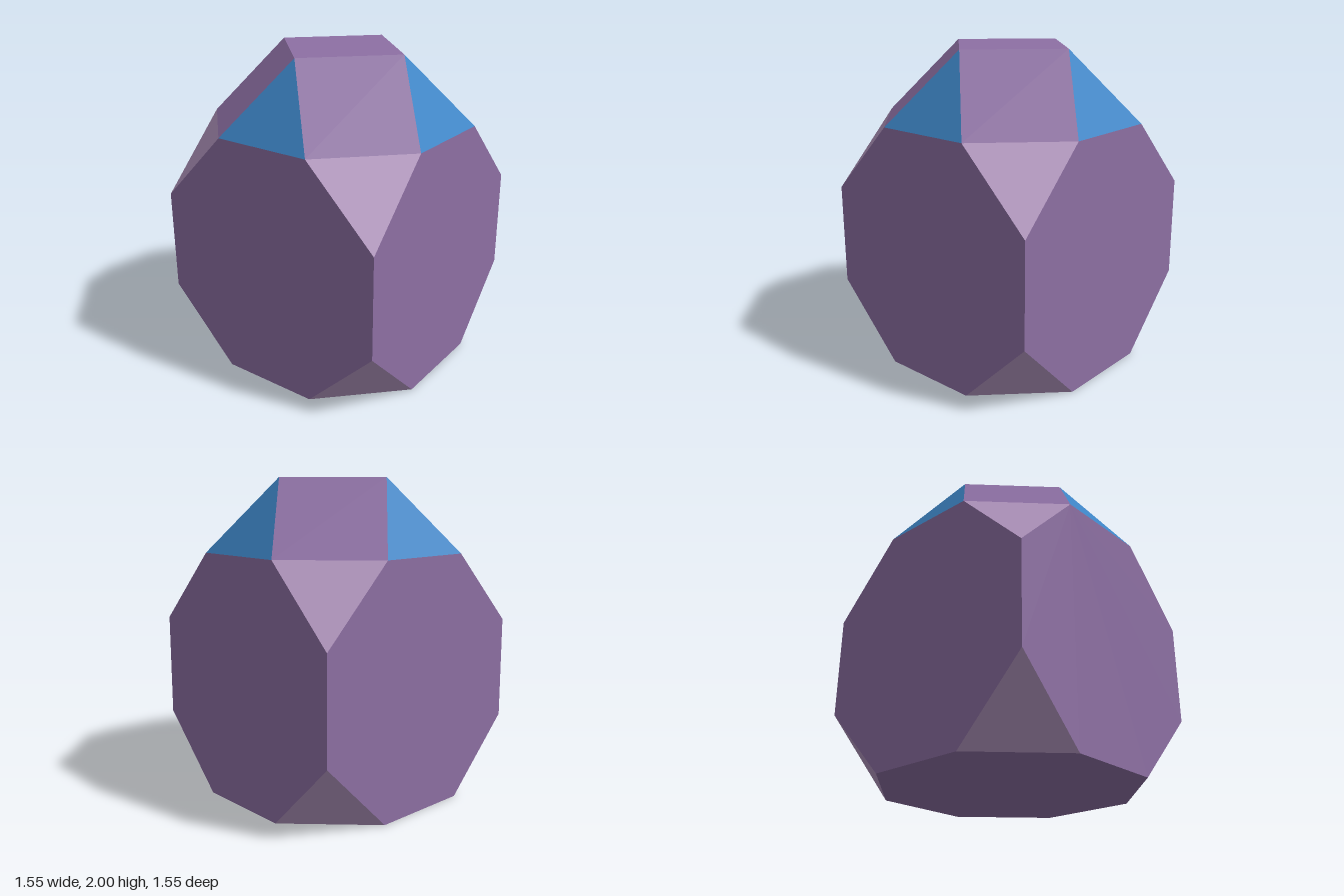
import * as THREE from 'three';

const EDGE = 2 / (1 + 1.5 * Math.SQRT2); // every edge is equal
const A = EDGE / 2;                      // half edge
const H = A * (1 + Math.SQRT2);          // half width of the truncated cube
const R = EDGE / Math.SQRT2;             // reach of the top square, also the cap height

const V = (x, y, z) => new THREE.Vector3(x, y, z);

// Flat convex polygons, each fanned and turned to face away from the centre
function facesMesh(name, polygons, material) {
  const positions = [];
  for (const p of polygons) {
    const normal = p[1].clone().sub(p[0]).cross(p[2].clone().sub(p[0]));
    const ring = normal.dot(p[0]) < 0 ? [...p].reverse() : p;
    for (let i = 1; i < ring.length - 1; i++) {
      for (const v of [ring[0], ring[i], ring[i + 1]]) positions.push(v.x, v.y + H, v.z);
    }
  }
  const geometry = new THREE.BufferGeometry();
  geometry.setAttribute('position', new THREE.Float32BufferAttribute(positions, 3));
  geometry.computeVertexNormals();
  const mesh = new THREE.Mesh(geometry, material);
  mesh.name = name;
  return mesh;
}

export function createModel() {
  const purple = new THREE.MeshStandardMaterial({ name: 'purple', color: 0x8e70a4 });
  const mauve = new THREE.MeshStandardMaterial({ name: 'mauve', color: 0xb396c0 });
  const blue = new THREE.MeshStandardMaterial({ name: 'blue', color: 0x3d85c6 });

  // Octagon outline shared by the four sides and the base
  const octagon = [[A, H], [H, A], [H, -A], [A, -H], [-A, -H], [-H, -A], [-H, A], [-A, H]];
  const octagons = [octagon.map(([x, z]) => V(x, -H, z))];
  for (const s of [-1, 1]) {
    octagons.push(octagon.map(([x, y]) => V(x, y, s * H)));
    octagons.push(octagon.map(([z, y]) => V(s * H, y, z)));
  }

  // Cut corners of the cube
  const corners = [];
  for (const x of [-1, 1]) for (const y of [-1, 1]) for (const z of [-1, 1]) {
    corners.push([V(x * A, y * H, z * H), V(x * H, y * A, z * H), V(x * H, y * H, z * A)]);
  }

  // Cap: a turned square on top, with squares and triangles alternating around it
  const top = H + R;
  const topSquare = [V(0, top, R), V(R, top, 0), V(0, top, -R), V(-R, top, 0)];
  const capSquares = [], capTriangles = [];
  const up = V(0, 1, 0);
  for (let i = 0; i < 4; i++) {
    const turn = (v) => v.applyAxisAngle(up, i * Math.PI / 2);
    capSquares.push([V(0, top, R), V(R, top, 0), V(H, H, A), V(A, H, H)].map(turn));
    capTriangles.push([V(0, top, R), V(-A, H, H), V(A, H, H)].map(turn));
  }

  const model = new THREE.Group();
  model.name = 'augmentedTruncatedCube';
  model.add(
    facesMesh('octagonFaces', octagons, purple),
    facesMesh('cornerTriangles', corners, mauve),
    facesMesh('topSquare', [topSquare], purple),
    facesMesh('capSquares', capSquares, purple),
    facesMesh('capTriangles', capTriangles, blue),
  );
  return model;
}
